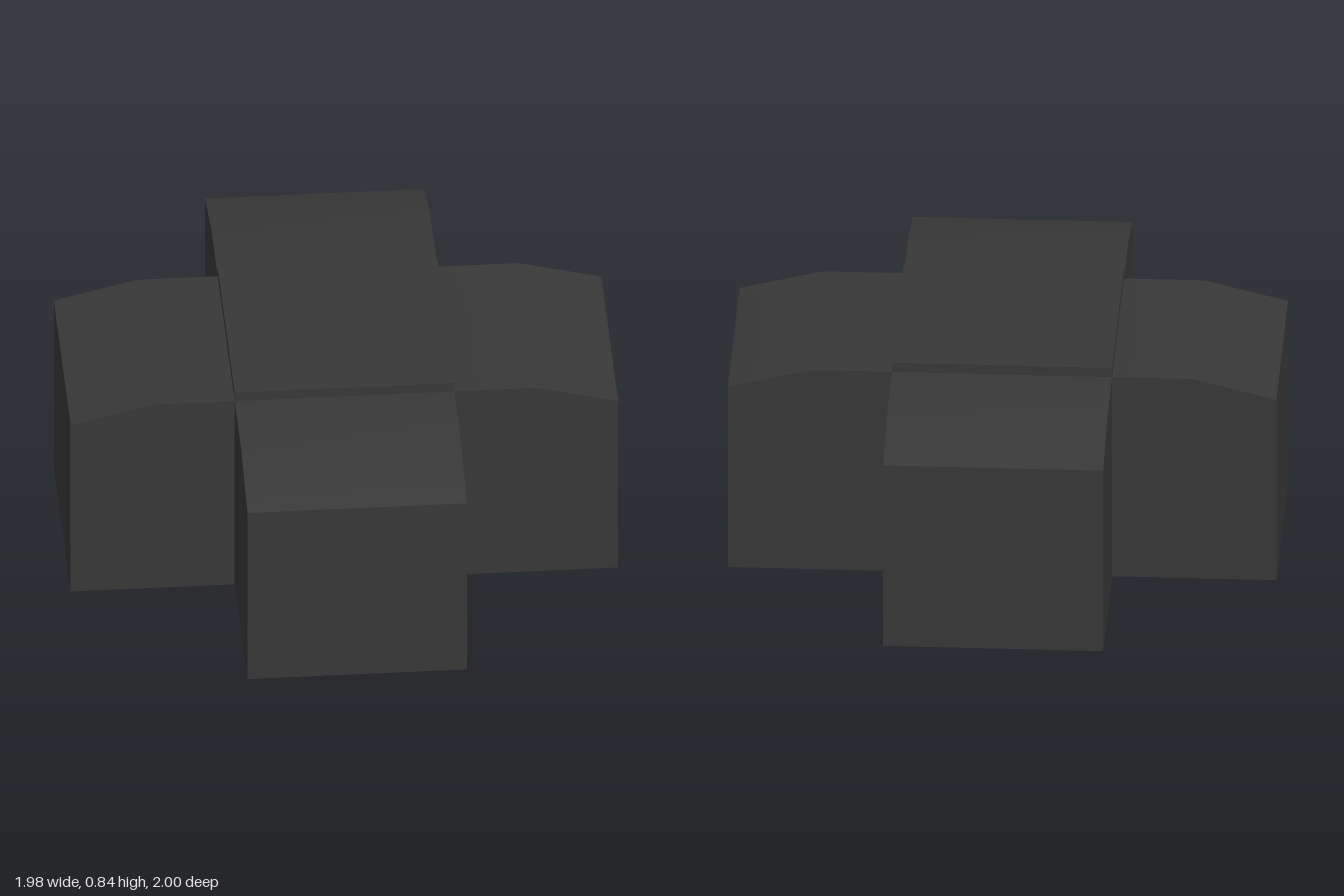
import * as THREE from 'three';
import { toCreasedNormals } from 'three/addons/utils/BufferGeometryUtils.js';

const HALF = 0.397; // half width of the core and of every arm
const CORE_HEIGHT = 0.84;
const ARM_HEIGHT = 0.803;
const TIP_HEIGHT = 0.728;

// Arm running along +x, with its top sloping down towards the tip
function armGeometry(reach) {
  const shoulder = reach - 0.3;
  const profile = new THREE.Shape([
    new THREE.Vector2(HALF, 0),
    new THREE.Vector2(reach, 0),
    new THREE.Vector2(reach, TIP_HEIGHT),
    new THREE.Vector2(shoulder, ARM_HEIGHT),
    new THREE.Vector2(HALF, ARM_HEIGHT),
  ]);
  const geometry = new THREE.ExtrudeGeometry(profile, { depth: HALF * 2, bevelEnabled: false });
  geometry.translate(0, 0, -HALF);
  // Soft shading over the shallow shoulder, sharp everywhere else
  return toCreasedNormals(geometry, 0.5);
}

export function createModel() {
  const model = new THREE.Group();
  model.name = 'crossBlock';
  const material = new THREE.MeshStandardMaterial({ color: 0x383838 });

  // Central block, slightly taller than the arms
  const core = new THREE.Mesh(new THREE.BoxGeometry(HALF * 2, CORE_HEIGHT, HALF * 2), material);
  core.name = 'core';
  core.position.y = CORE_HEIGHT / 2;
  model.add(core);

  // Four arms, a quarter turn apart
  const sideArm = armGeometry(0.99);
  const endArm = armGeometry(1);
  ['leftArm', 'backArm', 'rightArm', 'frontArm'].forEach((name, i) => {
    const arm = new THREE.Mesh(i % 2 ? endArm : sideArm, material);
    arm.name = name;
    arm.rotation.y = (i * Math.PI) / 2;
    model.add(arm);
  });

  return model;
}
